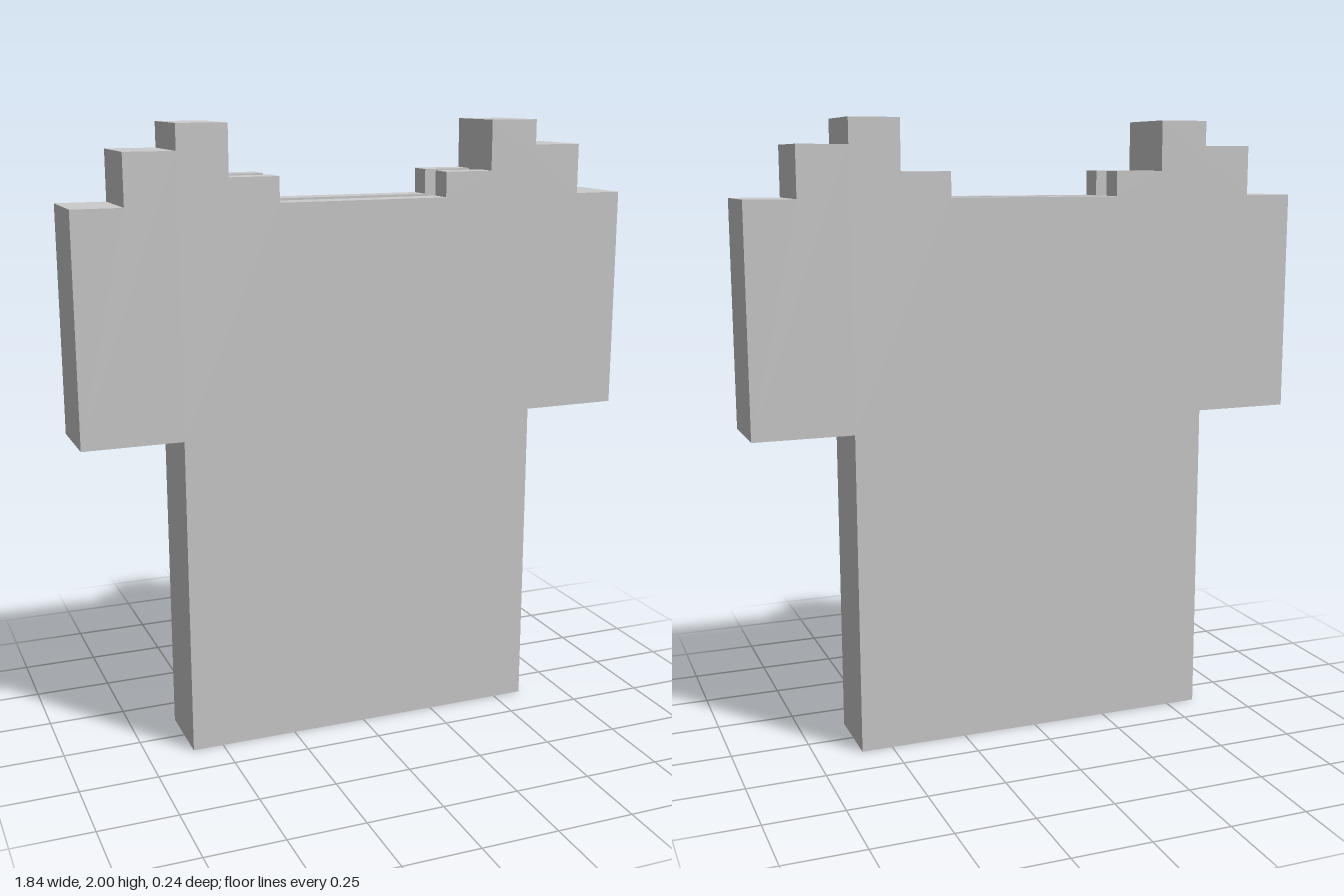
import * as THREE from 'three';

const DEPTH = 0.12;   // half thickness of the shirt
const SLOT_X = 0.44;  // half width of the hollow through the body
const SLOT_Z = 0.04;  // half depth of the hollow

const v = (x, y) => new THREE.Vector2(x, y);

// Full outline from its right half (bottom to top), counter-clockwise
const mirrored = half => [...half, ...half.map(p => v(-p.x, p.y)).reverse()];

// Flat rectangles standing along z on each outline edge: [a, b, zBack, zFront]
function wallGeometry(walls) {
  const pos = [];
  for (const [a, b, z0, z1] of walls) {
    pos.push(a.x, a.y, z0, b.x, b.y, z0, b.x, b.y, z1);
    pos.push(a.x, a.y, z0, b.x, b.y, z1, a.x, a.y, z1);
  }
  const geo = new THREE.BufferGeometry();
  geo.setAttribute('position', new THREE.Float32BufferAttribute(pos, 3));
  geo.computeVertexNormals();
  return geo;
}

export function createModel() {
  const group = new THREE.Group();
  group.name = 'steppedShirt';
  const material = new THREE.MeshStandardMaterial({ color: 0xcccccc, flatShading: true });

  const add = (name, geometry) => {
    const mesh = new THREE.Mesh(geometry, material);
    mesh.name = name;
    group.add(mesh);
    return mesh;
  };
  // Flat panel at z, facing forward or backward
  const panel = (name, points, z, forward) => {
    const mesh = add(name, new THREE.ShapeGeometry(new THREE.Shape(points)));
    mesh.position.z = z;
    if (!forward) mesh.rotation.y = Math.PI;
  };

  // Silhouette: torso, sleeve, stepped shoulder and neckline
  const neck = [v(0.44, 1.84), v(0.28, 1.84), v(0.28, 1.76)];
  const outline = mirrored([
    v(SLOT_X, 0), v(0.6, 0), v(0.6, 1.04), v(0.92, 1.04), v(0.92, 1.76),
    v(0.76, 1.76), v(0.76, 1.92), v(0.6, 1.92), v(0.6, 2), v(0.44, 2), ...neck,
  ]);
  const lining = mirrored([v(SLOT_X, 0), ...neck]);

  // Outer faces and the inner faces of the hollow
  panel('frontPanel', outline, DEPTH, true);
  panel('backPanel', outline, -DEPTH, false);
  panel('frontLining', lining, SLOT_Z, false);
  panel('backLining', lining, -SLOT_Z, true);

  // Edges all round; neckline and hem are split by the hollow
  const edges = [];
  outline.forEach((a, i) => {
    const b = outline[(i + 1) % outline.length];
    if (Math.abs(a.x + b.x) / 2 < SLOT_X - 0.01) {
      edges.push([a, b, -DEPTH, -SLOT_Z], [a, b, SLOT_Z, DEPTH]);
    } else {
      edges.push([a, b, -DEPTH, DEPTH]);
    }
  });
  add('outerEdges', wallGeometry(edges));

  // End walls of the hollow
  add('hollowEnds', wallGeometry([
    [v(SLOT_X, 1.84), v(SLOT_X, 0), -SLOT_Z, SLOT_Z],
    [v(-SLOT_X, 0), v(-SLOT_X, 1.84), -SLOT_Z, SLOT_Z],
  ]));

  return group;
}
